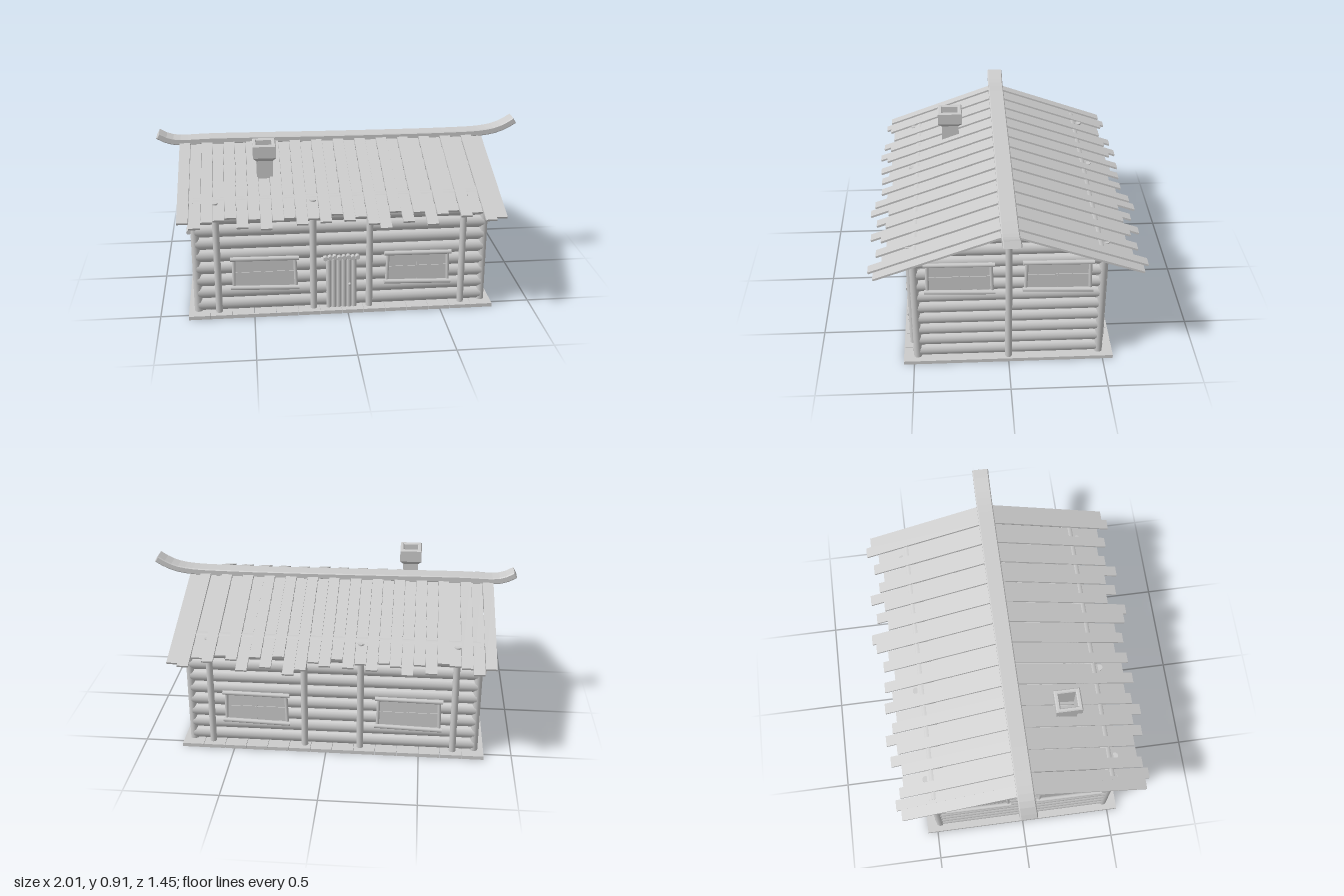
import * as THREE from 'three';

const grey = new THREE.MeshStandardMaterial({ color: 0xcccccc });
const flat = new THREE.MeshStandardMaterial({ color: 0xcccccc, flatShading: true });
const SLOPE = 0.36, RIDGE = 0.834, ROW = 0.0705;
const HALF_X = 0.745, HALF_Z = 0.465, LOG_R = 0.039;

function add(parent, name, geometry, material = grey) {
  const mesh = new THREE.Mesh(geometry, material);
  mesh.name = name;
  parent.add(mesh);
  return mesh;
}

function box(parent, name, w, h, d, x, y, z) {
  const mesh = add(parent, name, new THREE.BoxGeometry(w, h, d));
  mesh.position.set(x, y, z);
  return mesh;
}

// Round pole between two points
function pole(parent, name, r, from, to, sides = 12) {
  const a = new THREE.Vector3(...from), b = new THREE.Vector3(...to);
  const mesh = add(parent, name, new THREE.CylinderGeometry(r, r, a.distanceTo(b), sides));
  mesh.position.copy(a).add(b).multiplyScalar(0.5);
  mesh.quaternion.setFromUnitVectors(new THREE.Vector3(0, 1, 0), b.sub(a).normalize());
  return mesh;
}

// Pane with crossed bars, round uprights and overhanging rails, facing +z
function addWindow(parent, x, y, z, w, h) {
  const g = new THREE.Group();
  g.name = 'window';
  g.position.set(x, y, z);
  parent.add(g);
  box(g, 'windowPane', w - 0.03, h, 0.02, 0, 0, 0);
  box(g, 'verticalBar', 0.006, h, 0.006, 0, 0, 0.011);
  box(g, 'horizontalBar', w - 0.03, 0.006, 0.006, 0, 0, 0.011);
  for (const s of [-1, 1]) {
    pole(g, 'windowUpright', 0.009, [s * (w / 2 - 0.015), -h / 2, 0.014], [s * (w / 2 - 0.02), h / 2, 0.014], 8);
    pole(g, 'windowRail', 0.012, [-w / 2, s * h / 2 + 0.002, 0.022], [w / 2, s * h / 2 - 0.003 * (2 - s), 0.022], 10);
  }
}

// Log wall facing +z; ends of high logs are cut to the roof pitch
function addWall(parent, name, halfLength, depth, rows, gable) {
  const wall = new THREE.Group();
  wall.name = name;
  parent.add(wall);
  for (let i = 0; i < rows; i++) {
    const y0 = 0.055 + i * ROW;
    const geo = new THREE.CylinderGeometry(LOG_R, LOG_R, 2, 16, 1).rotateZ(Math.PI / 2);
    geo.translate(0, y0, depth);
    const p = geo.attributes.position;
    for (let k = 0; k < p.count; k++) {
      const limit = gable ? (RIDGE - 0.024 - p.getY(k)) / SLOPE : halfLength;
      p.setX(k, Math.sign(p.getX(k)) * Math.max(0, Math.min(halfLength, limit)));
    }
    add(wall, 'wallLog', geo);
  }
  return wall;
}

function addDoor(wall) {
  const door = new THREE.Group();
  door.name = 'door';
  wall.add(door);
  const count = 6, pitch = 0.027;
  for (let i = 0; i < count; i++) {
    const x = (i - (count - 1) / 2) * pitch;
    pole(door, 'doorPole', 0.0145, [x, 0.02, 0.505], [x, 0.3, 0.505], 10);
  }
  pole(door, 'doorLintel', 0.01, [-0.09, 0.305, 0.505], [0.09, 0.305, 0.505], 8);
  for (let i = 0; i < 8; i++) {
    const x = (i - 3.5) * 0.0245, y = 0.31 + (i % 3) * 0.003;
    pole(door, 'lintelLog', 0.012, [x, y, 0.47], [x, y, 0.528], 10);
  }
  const knob = add(door, 'doorKnob', new THREE.SphereGeometry(0.008, 10, 8));
  knob.position.set(0.043, 0.157, 0.523);
}

function addBody(parent) {
  const body = new THREE.Group();
  body.name = 'cabinBody';
  body.position.x = -0.032;
  parent.add(body);

  // Floor boards
  const boards = 14, width = 1.636 / boards;
  for (let i = 0; i < boards; i++)
    box(body, 'floorBoard', width - 0.002, 0.02, 1.11, (i - (boards - 1) / 2) * width, 0.01, 0);

  // Long walls with four posts and two windows each
  for (const front of [true, false]) {
    const wall = addWall(body, front ? 'frontWall' : 'backWall', HALF_X + 0.02, HALF_Z, 9, false);
    if (!front) wall.rotation.y = Math.PI;
    for (const x of [-0.655, -0.15, 0.15, 0.65])
      pole(wall, 'wallPost', 0.018, [x, 0.02, 0.507], [x, 0.645, 0.507]);
    for (const s of [-1, 1]) addWindow(wall, s * 0.408, 0.245, 0.502, 0.36, 0.165);
    if (front) addDoor(wall);
  }

  // Gable walls with a centre post and two windows each
  for (const s of [-1, 1]) {
    const wall = addWall(body, s > 0 ? 'leftGable' : 'rightGable', HALF_Z + 0.005, HALF_X, 11, true);
    wall.rotation.y = s * Math.PI / 2;
    pole(wall, 'gablePost', 0.018, [0, 0.02, 0.788], [0, 0.815, 0.788]);
    for (const t of [-1, 1]) addWindow(wall, t * 0.25, 0.543, 0.778, 0.36, 0.165);
    for (const t of [-1, 1])
      pole(body, 'cornerPost', 0.022, [s * 0.765, 0.02, t * 0.48], [s * 0.765, 0.645, t * 0.48]);
  }
}

// Two pitches of uneven planks in two alternating layers
function addRoof(parent) {
  const reach = [0.655, 0.685, 0.655, 0.635, 0.63, 0.69, 0.645, 0.705, 0.66, 0.635, 0.69, 0.645, 0.68, 0.62,
    0.675, 0.645, 0.705, 0.73, 0.625, 0.69, 0.635, 0.715, 0.655, 0.625, 0.675, 0.645, 0.71, 0.685];
  const angle = Math.atan(SLOPE), pitch = 0.0602;
  for (const s of [1, -1]) {
    const side = new THREE.Group();
    side.name = s > 0 ? 'frontRoof' : 'backRoof';
    side.position.y = RIDGE;
    side.rotation.x = s * angle;
    parent.add(side);
    reach.forEach((r, i) => {
      const len = r / Math.cos(angle);
      const x = -0.848 + i * pitch;
      box(side, 'roofPlank', 0.058, 0.011, len, x, i % 2 ? -0.014 : -0.005, s * len / 2);
    });
  }
}

// Ridge beam with upswept ends
function addRidge(parent) {
  const path = new THREE.CatmullRomCurve3([[-0.99, 0.862], [-0.945, 0.838], [-0.89, 0.826], [-0.7, 0.828],
    [0, 0.822], [0.6, 0.822], [0.8, 0.828], [0.89, 0.843], [0.95, 0.868], [0.99, 0.892]]
    .map(([x, y]) => new THREE.Vector3(x, y, 0)));
  const top = [], bottom = [];
  for (let i = 0; i <= 48; i++) {
    const p = path.getPointAt(i / 48), t = path.getTangentAt(i / 48);
    top.push(new THREE.Vector2(p.x - t.y * 0.013, p.y + t.x * 0.013));
    bottom.unshift(new THREE.Vector2(p.x + t.y * 0.013, p.y - t.x * 0.013));
  }
  const geo = new THREE.ExtrudeGeometry(new THREE.Shape([...bottom, ...top]),
    { depth: 0.08, bevelEnabled: true, bevelThickness: 0.005, bevelSize: 0.005, bevelSegments: 1 });
  geo.translate(0, 0, -0.043);
  add(parent, 'ridgeBeam', geo);
}

// Hollow square chimney with a flared cap
function addChimney(parent) {
  const profile = [[0.043, 0.66], [0.043, 0.802], [0.061, 0.823], [0.061, 0.886], [0.056, 0.892],
    [0.045, 0.892], [0.04, 0.886], [0.04, 0.7], [0, 0.7]];
  const geo = new THREE.LatheGeometry(profile.map(([r, y]) => new THREE.Vector2(r * Math.SQRT2, y)), 4);
  geo.rotateY(Math.PI / 4).scale(1, 1, 1.15);
  add(parent, 'chimney', geo, flat).position.set(-0.421, 0, 0.283);
}

export function createModel() {
  const model = new THREE.Group();
  model.name = 'logCabin';
  addBody(model);
  addRoof(model);
  addRidge(model);
  addChimney(model);
  return model;
}
